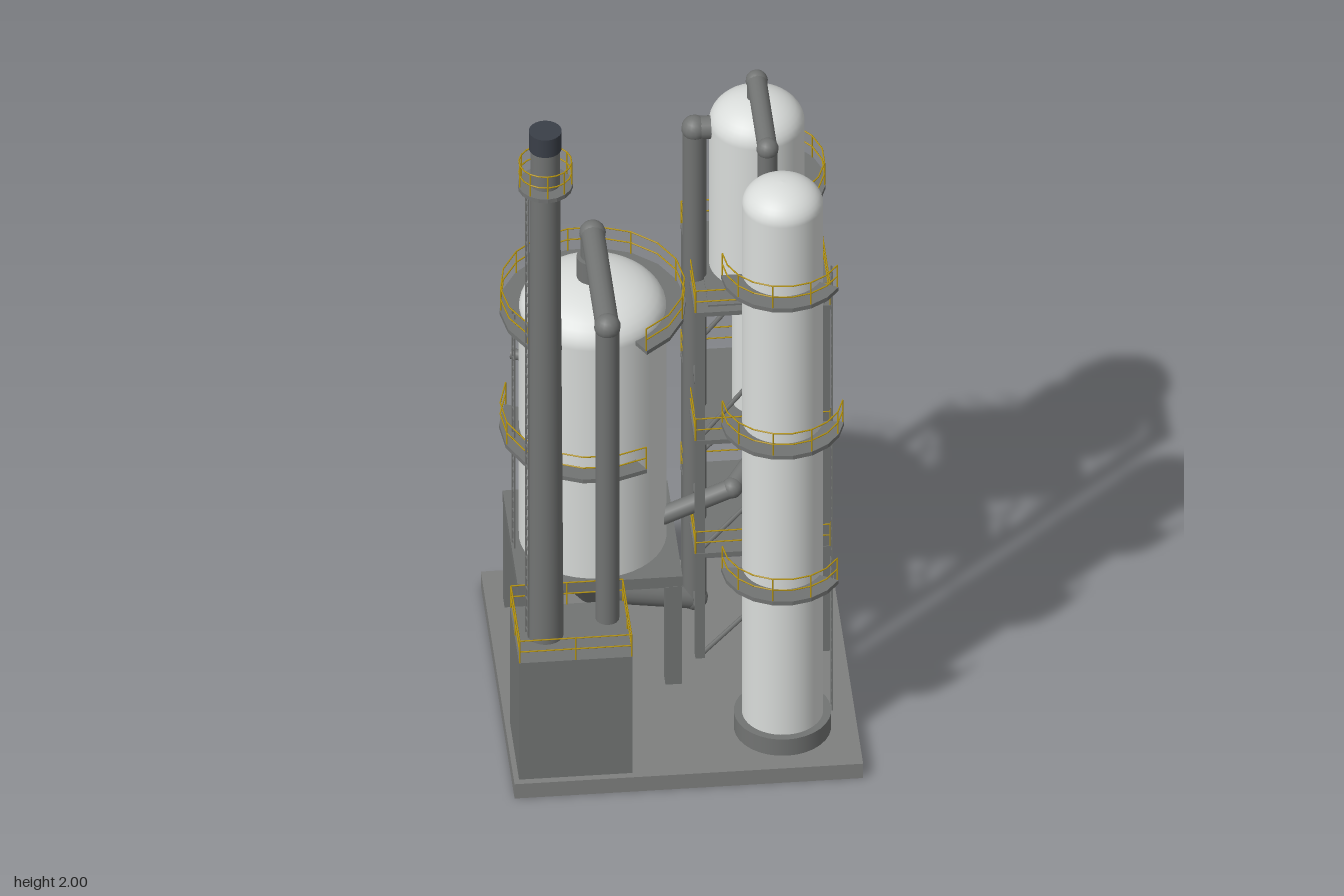
import * as THREE from 'three';

const V = (x, y, z) => new THREE.Vector3(x, y, z);
const mat = (name, color, side = THREE.FrontSide) => {
  const m = new THREE.MeshStandardMaterial({ color, side });
  m.name = name;
  return m;
};
const rad = THREE.MathUtils.degToRad;

export function createModel() {
  const root = new THREE.Group();
  root.name = 'processPlant';
  const concrete = mat('concrete', 0x7f807f, THREE.DoubleSide);
  const steel = mat('steel', 0x727473);
  const shell = mat('vesselShell', 0xd9dcda);
  const capMat = mat('stackCap', 0x3a3f48);
  const railMat = mat('railYellow', 0xb8960f);

  const group = (name, parent = root) => {
    const g = new THREE.Group();
    g.name = name;
    parent.add(g);
    return g;
  };
  const add = (parent, name, geo, m, x = 0, y = 0, z = 0) => {
    const mesh = new THREE.Mesh(geo, m);
    mesh.name = name;
    mesh.position.set(x, y, z);
    parent.add(mesh);
    return mesh;
  };
  // box given by its min and max corners
  const box = (parent, name, x0, x1, y0, y1, z0, z1, m = steel) =>
    add(parent, name, new THREE.BoxGeometry(x1 - x0, y1 - y0, z1 - z0), m,
      (x0 + x1) / 2, (y0 + y1) / 2, (z0 + z1) / 2);
  // round bar between two points
  const bar = (parent, name, a, b, r, m = steel, sides = 16) => {
    const d = b.clone().sub(a);
    const mid = a.clone().add(b).multiplyScalar(0.5);
    const mesh = add(parent, name, new THREE.CylinderGeometry(r, r, d.length(), sides), m, mid.x, mid.y, mid.z);
    mesh.quaternion.setFromUnitVectors(V(0, 1, 0), d.normalize());
    return mesh;
  };
  // pipe run with ball elbows at the inner points
  const pipe = (name, pts, r) => {
    const g = group(name);
    for (let i = 1; i < pts.length; i++) {
      bar(g, 'pipeRun', pts[i - 1], pts[i], r);
      if (i < pts.length - 1)
        add(g, 'elbow', new THREE.SphereGeometry(r * 1.12, 16, 12), steel, pts[i].x, pts[i].y, pts[i].z);
    }
  };
  // guard rail along a path of floor points
  const rail = (parent, pts, postEvery, h = 0.068) => {
    const g = group('guardRail', parent);
    const lift = (p, y) => V(p.x, p.y + y, p.z);
    pts.forEach((p, i) => {
      if (i % postEvery === 0 || i === pts.length - 1) bar(g, 'post', p, lift(p, h), 0.002, railMat, 5);
      if (i) for (const k of [h / 2, h]) bar(g, 'railBar', lift(pts[i - 1], k), lift(p, k), 0.002, railMat, 5);
    });
  };
  // rectangular rail with evenly spaced posts
  const rectRail = (parent, x0, x1, z0, z1, y) => {
    const c = [V(x0, y, z0), V(x1, y, z0), V(x1, y, z1), V(x0, y, z1), V(x0, y, z0)];
    const pts = [c[0]];
    for (let i = 1; i < 5; i++) for (const t of [0.5, 1]) pts.push(c[i - 1].clone().lerp(c[i], t));
    rail(parent, pts, 1);
  };
  // curved walkway; angles in degrees from +z towards +x
  const walkway = (parent, cx, cz, y, rIn, rOut, a0, a1) => {
    const g = group('walkway', parent);
    const n = Math.max(4, Math.round((a1 - a0) / 20));
    const at = (r, i) => {
      const a = rad(a0 + ((a1 - a0) * i) / n);
      return [r * Math.sin(a), r * Math.cos(a)];
    };
    const outline = [], railPts = [];
    for (let i = 0; i <= n; i++) {
      const [x, z] = at(rOut, i), [rx, rz] = at(rOut - 0.003, i);
      outline.push(new THREE.Vector2(x, -z));
      railPts.push(V(cx + rx, y, cz + rz));
    }
    for (let i = n; i >= 0; i--) {
      const [x, z] = at(rIn, i);
      outline.push(new THREE.Vector2(x, -z));
    }
    const geo = new THREE.ExtrudeGeometry(new THREE.Shape(outline), { depth: 0.012, bevelEnabled: false });
    geo.rotateX(-Math.PI / 2);
    add(g, 'walkwayFloor', geo, steel, cx, y - 0.012, cz);
    rail(g, railPts, 2);
  };
  // upright cylinder with an elliptical dome on top
  const domed = (parent, name, x, z, r, y0, y1, top) => {
    const pts = [new THREE.Vector2(r, y0)];
    for (let i = 0; i <= 10; i++) {
      const a = (i / 10) * Math.PI / 2;
      pts.push(new THREE.Vector2(i === 10 ? 0 : r * Math.cos(a), y1 + (top - y1) * Math.sin(a)));
    }
    add(parent, name, new THREE.LatheGeometry(pts, 40), shell, x, 0, z);
  };
  const drum = (parent, name, x, z, rTop, rBot, y0, y1, m = steel) =>
    add(parent, name, new THREE.CylinderGeometry(rTop, rBot, y1 - y0, 32), m, x, (y0 + y1) / 2, z);
  // ladder standing at distance r from an axis, at an angle from +z
  const ladder = (parent, cx, cz, r, angle, y0, y1) => {
    const g = group('ladder', parent);
    g.position.set(cx, 0, cz);
    g.rotation.y = rad(angle);
    for (const x of [-0.012, 0.012]) box(g, 'ladderSide', x - 0.002, x + 0.002, y0, y1, r - 0.002, r + 0.002);
    for (let y = y0 + 0.015; y < y1; y += 0.032) box(g, 'rung', -0.012, 0.012, y - 0.0015, y + 0.0015, r - 0.0015, r + 0.0015);
  };

  // base slab, open underneath
  const slab = new THREE.BoxGeometry(0.876, 0.045, 0.876);
  const idx = Array.from(slab.index.array);
  idx.splice(18, 6);
  slab.setIndex(idx);
  slab.clearGroups();
  add(root, 'baseSlab', slab, concrete, 0, 0.0225, 0);

  // large reactor on its table
  const reactor = group('reactor');
  const [ax, az] = [-0.187, -0.13];
  domed(reactor, 'reactorShell', ax, az, 0.185, 0.38, 1.1, 1.2);
  drum(reactor, 'reactorCone', ax, az, 0.16, 0.035, 0.19, 0.352);
  drum(reactor, 'topNozzle', ax, az, 0.04, 0.04, 1.18, 1.26);
  box(reactor, 'tableTop', ax - 0.207, ax + 0.207, 0.35, 0.383, az - 0.197, az + 0.197);
  for (const sx of [-1, 1]) for (const sz of [-1, 1]) {
    const x = ax + sx * 0.185, z = az + sz * 0.177;
    box(reactor, 'tableLeg', x - 0.021, x + 0.021, 0.045, 0.352, z - 0.021, z + 0.021);
  }
  for (const d of [8, 128, 248]) {
    const s = Math.sin(rad(d)), c = Math.cos(rad(d));
    bar(reactor, 'sideNozzle', V(ax + 0.17 * s, 0.905, az + 0.17 * c), V(ax + 0.212 * s, 0.905, az + 0.212 * c), 0.014);
  }
  walkway(reactor, ax, az, 1.105, 0.18, 0.234, 30, 330);
  walkway(reactor, ax, az, 0.732, 0.18, 0.234, -115, 30);
  ladder(reactor, ax, az, 0.203, -82, 0.38, 1.12);

  // furnace block with stack
  const furnace = group('furnace');
  const [sx, sz] = [-0.348, 0.305];
  box(furnace, 'furnaceBlock', -0.425, -0.14, 0.045, 0.412, 0.188, 0.42);
  rectRail(furnace, -0.423, -0.142, 0.19, 0.418, 0.412);
  drum(furnace, 'stack', sx, sz, 0.037, 0.046, 0.41, 1.95);
  drum(furnace, 'stackTip', sx, sz, 0.041, 0.041, 1.945, 2.0, capMat);
  walkway(furnace, sx, sz, 1.835, 0.035, 0.069, 0, 360);
  ladder(furnace, sx, sz, 0.047, -80, 0.42, 1.83);

  // tall column on its skirt
  const column = group('column');
  const [cx, cz] = [0.252, 0.265];
  domed(column, 'columnShell', cx, cz, 0.102, 0.09, 1.695, 1.763);
  drum(column, 'skirt', cx, cz, 0.122, 0.122, 0.04, 0.096);
  add(column, 'skirtSleeve', new THREE.CylinderGeometry(0.102, 0.102, 0.043, 32, 1, true), concrete, cx, 0.0225, cz);
  for (const [y, end] of [[0.555, 60], [1.015, 80], [1.48, 60]]) walkway(column, cx, cz, y, 0.098, 0.154, -90, end);
  ladder(column, cx, cz, 0.124, 90, 0.096, 1.48);

  // separator vessel with its long dip leg
  const sep = group('separator');
  const [bx, bz] = [0.231, -0.187];
  domed(sep, 'separatorShell', bx, bz, 0.12, 1.17, 1.61, 1.69);
  drum(sep, 'separatorCone', bx, bz, 0.12, 0.062, 1.115, 1.17);
  drum(sep, 'dipLeg', bx, bz, 0.062, 0.062, 0.62, 1.12, shell);
  drum(sep, 'dipLegCone', bx, bz, 0.062, 0.028, 0.57, 0.62);
  walkway(sep, bx, bz, 1.42, 0.115, 0.173, 0, 180);

  // open steel tower around the separator
  const tower = group('tower');
  const [x0, x1, z0, z1] = [0.06, 0.402, -0.403, -0.029];
  const levels = [0.045, 0.377, 0.733, 1.137];
  const px = [x0 + 0.014, x1 - 0.014], pz = [z0 + 0.014, z1 - 0.014];
  for (const x of px) for (const z of pz) box(tower, 'post', x - 0.012, x + 0.012, 0.045, 1.13, z - 0.012, z + 0.012);
  for (let i = 1; i < levels.length; i++) {
    const y = levels[i], low = levels[i - 1];
    box(tower, 'deck', x0, x1, y - 0.013, y, z0, z1);
    rectRail(tower, x0 + 0.002, x1 - 0.002, z0 + 0.002, z1 - 0.002, y);
    for (const x of px) bar(tower, 'brace', V(x, low, pz[1]), V(x, y, pz[0]), 0.006, steel, 6);
    for (const z of pz) bar(tower, 'brace', V(px[0], low, z), V(px[1], y, z), 0.006, steel, 6);
  }
  box(tower, 'supportPlate', 0.096, 0.366, 1.13, 1.142, -0.32, -0.052);

  // connecting pipes
  pipe('overheadPipe', [V(ax, 1.25, az), V(ax, 1.332, az), V(ax, 1.332, 0.255), V(ax, 0.41, 0.255)], 0.03);
  pipe('riserPipe', [V(ax, 0.22, az), V(ax + 0.03, 0.195, az - 0.005), V(0.075, 0.12, bz), V(0.075, 1.6, bz), V(0.15, 1.6, bz)], 0.03);
  pipe('transferPipe', [V(bx, 1.67, bz), V(bx, 1.738, bz), V(bx, 1.738, 0.093), V(bx, 0.27, 0.093), V(0.252, 0.27, 0.2)], 0.025);
  pipe('returnPipe', [V(bx, 0.6, bz), V(bx, 0.56, bz), V(0.16, 0.532, -0.09), V(-0.02, 0.455, -0.09)], 0.024);
  return root;
}
